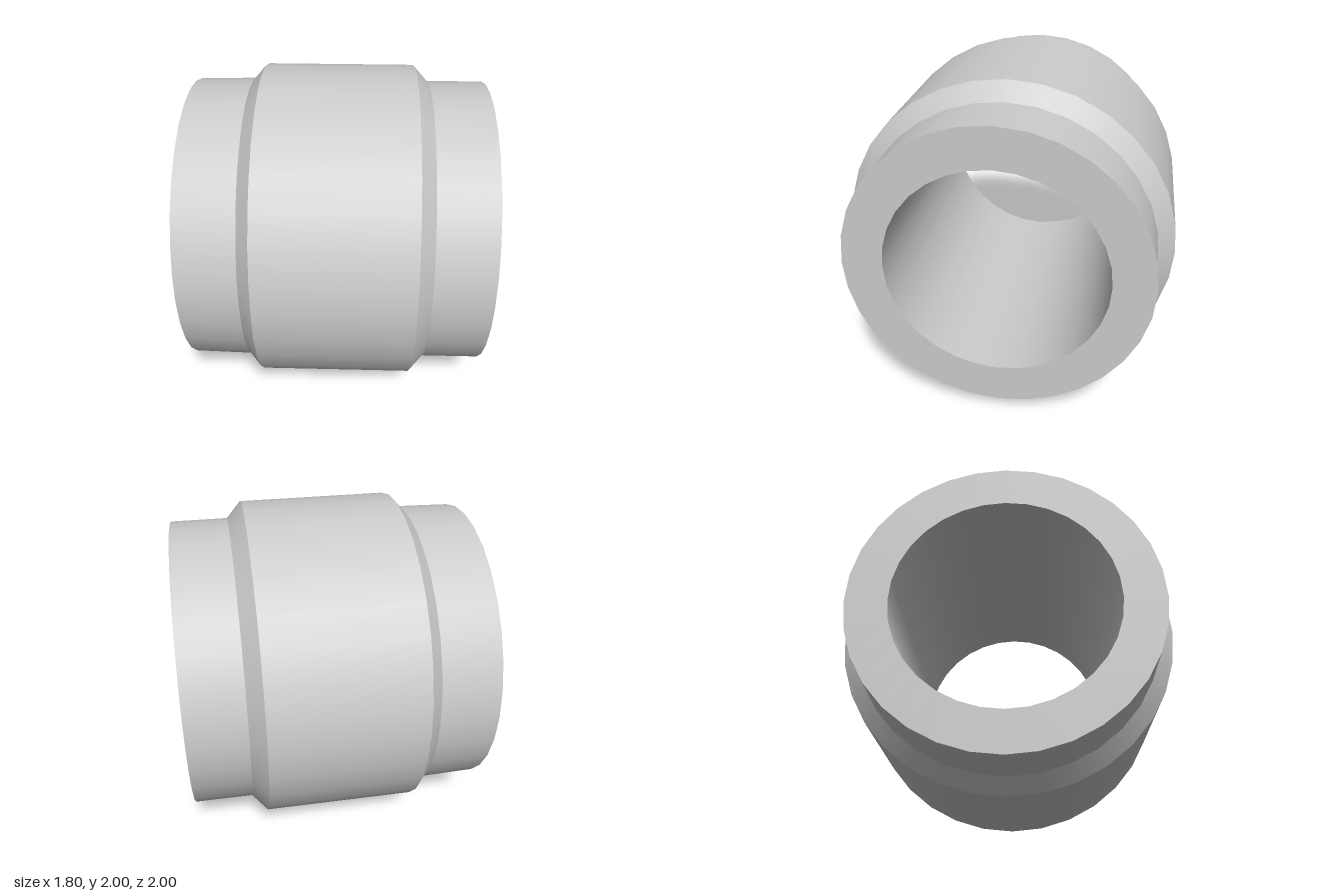
import * as THREE from 'three';
import { mergeGeometries } from 'three/addons/utils/BufferGeometryUtils.js';

const SIDES = 32;

// Revolve a profile of [x, radius] points about the x axis, with sharp edges between segments
function ring(name, profile, material) {
  const bands = [];
  for (let i = 0; i < profile.length - 1; i++) {
    const points = [profile[i], profile[i + 1]].map(([x, r]) => new THREE.Vector2(r, x));
    bands.push(new THREE.LatheGeometry(points, SIDES));
  }
  const geometry = mergeGeometries(bands);
  geometry.rotateZ(-Math.PI / 2);
  const mesh = new THREE.Mesh(geometry, material);
  mesh.name = name;
  mesh.position.y = 1;
  return mesh;
}

export function createModel() {
  const group = new THREE.Group();
  group.name = 'bushing';
  const material = new THREE.MeshStandardMaterial({ color: 0xcccccc });
  const bore = 0.655;

  group.add(
    // End face and slightly flared neck on the right
    ring('rightNeck', [[-0.9, bore], [-0.9, 0.9], [-0.54, 0.908]], material),
    // Wide middle barrel with chamfered shoulders
    ring('barrel', [[-0.54, 0.908], [-0.46, 1], [0.46, 1], [0.55, 0.9]], material),
    // Straight neck and end face on the left
    ring('leftNeck', [[0.55, 0.9], [0.9, 0.9], [0.9, bore]], material),
    // Through hole, facing inward
    ring('bore', [[0.9, bore], [-0.9, bore]], material),
  );
  return group;
}
